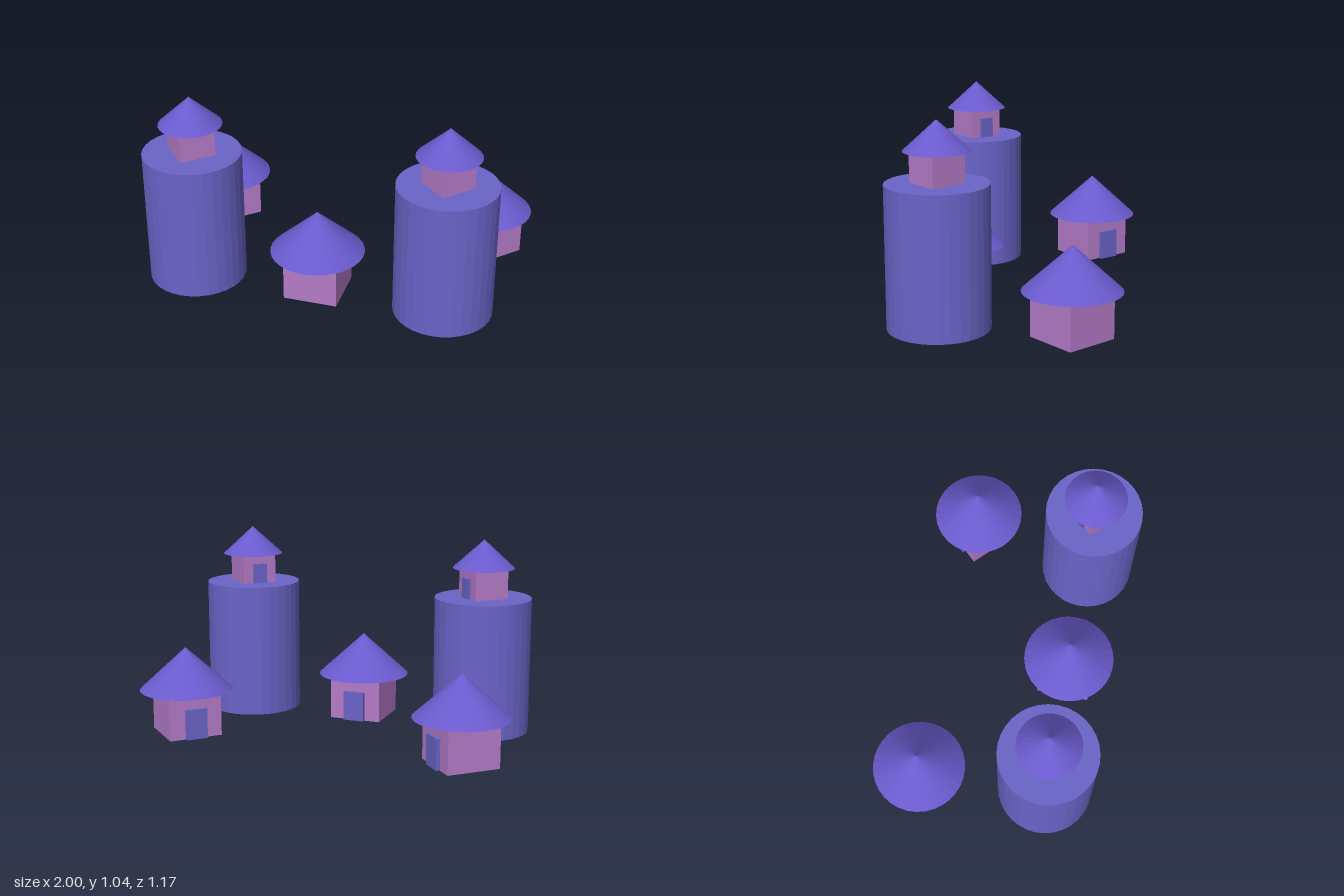
import * as THREE from 'three';

const material = (color) => new THREE.MeshStandardMaterial({ color, flatShading: true });

const WALL = 0.283, WALL_H = 0.235, ROOF_R = 0.245, ROOF_H = 0.225, DOOR_W = 0.114, DOOR_H = 0.16;

export function createModel() {
  const village = new THREE.Group();
  village.name = 'village';

  const roofMat = material(0x6a5acd);
  const towerMat = material(0x6a64c8);
  const wallMat = material(0xb57bc8);

  function add(parent, name, geometry, mat, x, y, z) {
    const mesh = new THREE.Mesh(geometry, mat);
    mesh.name = name;
    mesh.position.set(x, y, z);
    parent.add(mesh);
    return mesh;
  }

  // Square hut with a conical roof and a door in its local back wall
  function addHut(name, x, y, z, turn, scale = 1) {
    const hut = new THREE.Group();
    hut.name = name;
    add(hut, 'walls', new THREE.BoxGeometry(WALL, WALL_H, WALL), wallMat, 0, WALL_H / 2, 0);
    add(hut, 'roof', new THREE.ConeGeometry(ROOF_R, ROOF_H, 32), roofMat, 0, WALL_H + ROOF_H / 2, 0);
    add(hut, 'door', new THREE.BoxGeometry(DOOR_W, DOOR_H, 0.04), towerMat, 0, DOOR_H / 2, -WALL / 2);
    hut.position.set(x, y, z);
    hut.rotation.y = turn;
    hut.scale.setScalar(scale);
    village.add(hut);
  }

  // Round tower carrying a small hut
  function addTower(name, x, y, z, turn) {
    const height = 0.72;
    add(village, name, new THREE.CylinderGeometry(0.257, 0.257, height, 32), towerMat, x, y + height / 2, z);
    addHut(name + 'House', x, y + height, z, turn, 0.67);
  }

  // Ground huts: one in the middle, two behind, turned inward
  const TURN = 0.82;
  addHut('middleHut', 0, 0.015, 0.325, 0);
  addHut('leftHut', 0.755, 0.015, -0.342, TURN);
  addHut('rightHut', -0.755, 0.015, -0.342, -TURN);

  // Towers
  addTower('leftTower', 0.665, 0.012, 0.315, TURN);
  addTower('rightTower', -0.672, 0.003, 0.328, -TURN);

  return village;
}
